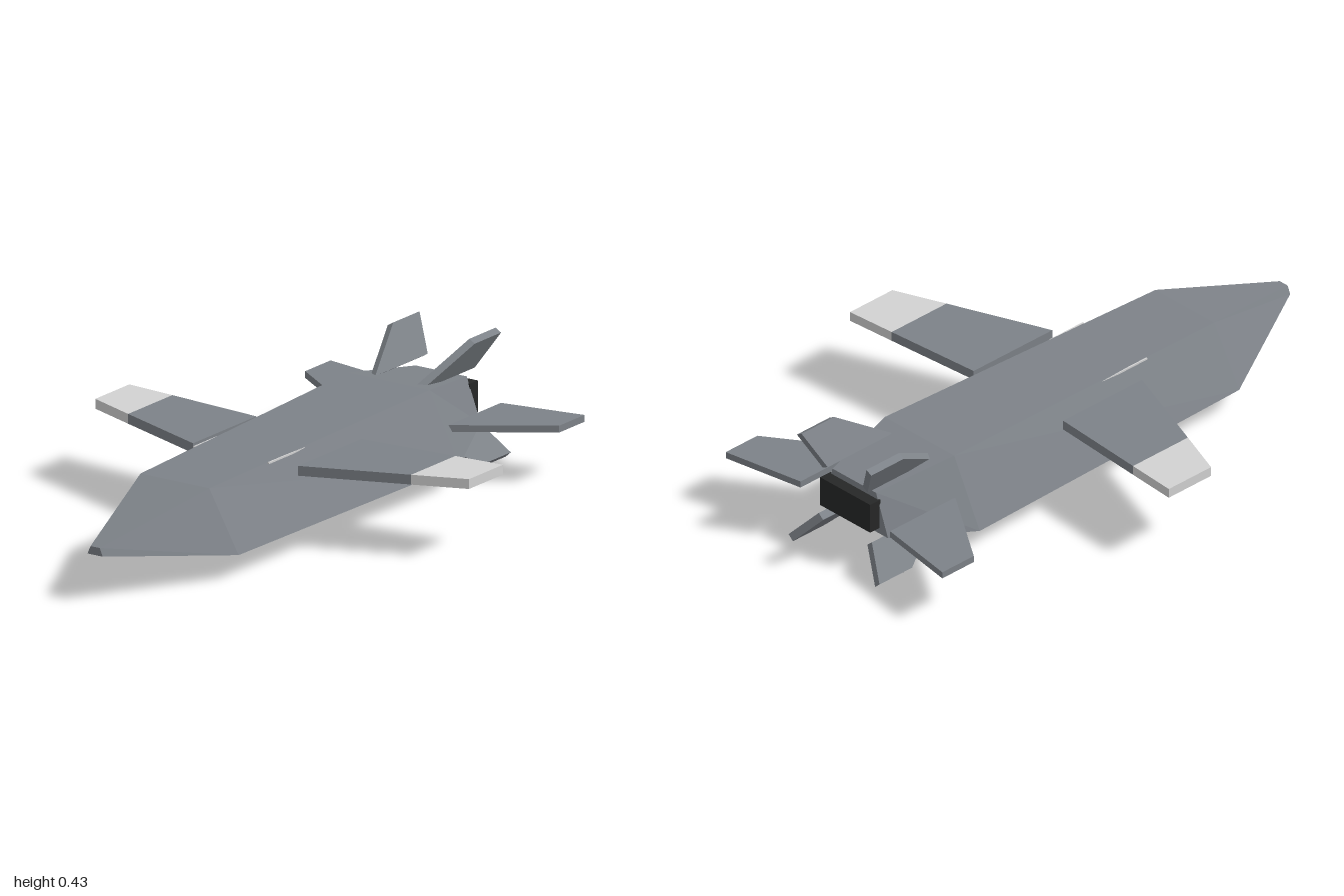
import * as THREE from 'three';

const hullGrey = new THREE.MeshStandardMaterial({ color: 0x7d8288, flatShading: true });
hullGrey.name = 'hull grey';
const paleGrey = new THREE.MeshStandardMaterial({ color: 0xd2d2d2, flatShading: true });
paleGrey.name = 'pale grey';
const black = new THREE.MeshStandardMaterial({ color: 0x262727, flatShading: true });
black.name = 'nozzle black';

// Joins four-cornered rings into a closed, hard-edged solid
function loft(rings) {
  const pos = [];
  const quad = (a, b, c, d) => [a, b, c, a, c, d].forEach((p) => pos.push(...p));
  for (let k = 0; k < rings.length - 1; k++) {
    const a = rings[k], b = rings[k + 1];
    for (let i = 0; i < 4; i++) {
      const j = (i + 1) % 4;
      quad(a[i], a[j], b[j], b[i]);
    }
  }
  const first = rings[0];
  quad(first[3], first[2], first[1], first[0]);
  quad(...rings[rings.length - 1]);
  const geo = new THREE.BufferGeometry();
  geo.setAttribute('position', new THREE.Float32BufferAttribute(pos, 3));
  geo.computeVertexNormals();
  return geo;
}

// Tapered plate; each station is [x, y, zBack, zFront]
function fin(root, tip, thickness, side) {
  const dir = new THREE.Vector2(side * (tip[0] - root[0]), tip[1] - root[1]).normalize();
  const nx = -dir.y * thickness / 2, ny = dir.x * thickness / 2;
  return loft([root, tip].map(([x, y, zb, zf]) => {
    const sx = side * x;
    return [
      [sx - nx, y - ny, zb], [sx + nx, y + ny, zb],
      [sx + nx, y + ny, zf], [sx - nx, y - ny, zf],
    ];
  }));
}

export function createModel() {
  const model = new THREE.Group();
  model.name = 'winged missile';
  const add = (name, geo, mat) => {
    const mesh = new THREE.Mesh(geo, mat);
    mesh.name = name;
    model.add(mesh);
    return mesh;
  };

  // Trapezoid fuselage: z, bottom half width, top half width, bottom y, top y
  const stations = [
    [-0.91, 0.155, 0.1, 0.13, 0.277],
    [-0.62, 0.277, 0.16, 0.085, 0.317],
    [0.56, 0.25, 0.135, 0.085, 0.288],
    [1, 0.03, 0.018, 0.153, 0.18],
  ];
  add('fuselage', loft(stations.map(([z, wb, wt, yb, yt]) =>
    [[-wb, yb, z], [wb, yb, z], [wt, yt, z], [-wt, yt, z]])), hullGrey);

  // Engine outlet
  add('nozzle', new THREE.BoxGeometry(0.23, 0.105, 0.045), black).position.set(0, 0.203, -0.928);

  for (const [side, label] of [[1, 'left'], [-1, 'right']]) {
    // Main wing with a pale tip
    const wingRoot = [0.206, 0.259, -0.18, 0.17];
    const wingBreak = [0.555, 0.259, -0.207, 0.037];
    const wingTip = [0.733, 0.259, -0.22, -0.032];
    add(label + 'Wing', fin(wingRoot, wingBreak, 0.033, side), hullGrey);
    add(label + 'WingTip', fin(wingBreak, wingTip, 0.033, side), paleGrey);

    // Tail fins: level, upper and lower
    add(label + 'Tailplane',
      fin([0.206, 0.186, -0.95, -0.66], [0.498, 0.186, -1, -0.86], 0.023, side), hullGrey);
    add(label + 'UpperFin',
      fin([0.092, 0.303, -0.95, -0.66], [0.16, 0.42, -1, -0.855], 0.025, side), hullGrey);
    add(label + 'LowerFin',
      fin([0.112, 0.108, -0.95, -0.66], [0.199, 0.01, -1, -0.855], 0.027, side), hullGrey);

    // Narrow marking strip below the upper hull edge
    add(label + 'Strip', new THREE.BoxGeometry(0.005, 0.006, 0.2), paleGrey)
      .position.set(side * 0.146, 0.294, 0.15);
  }
  return model;
}
